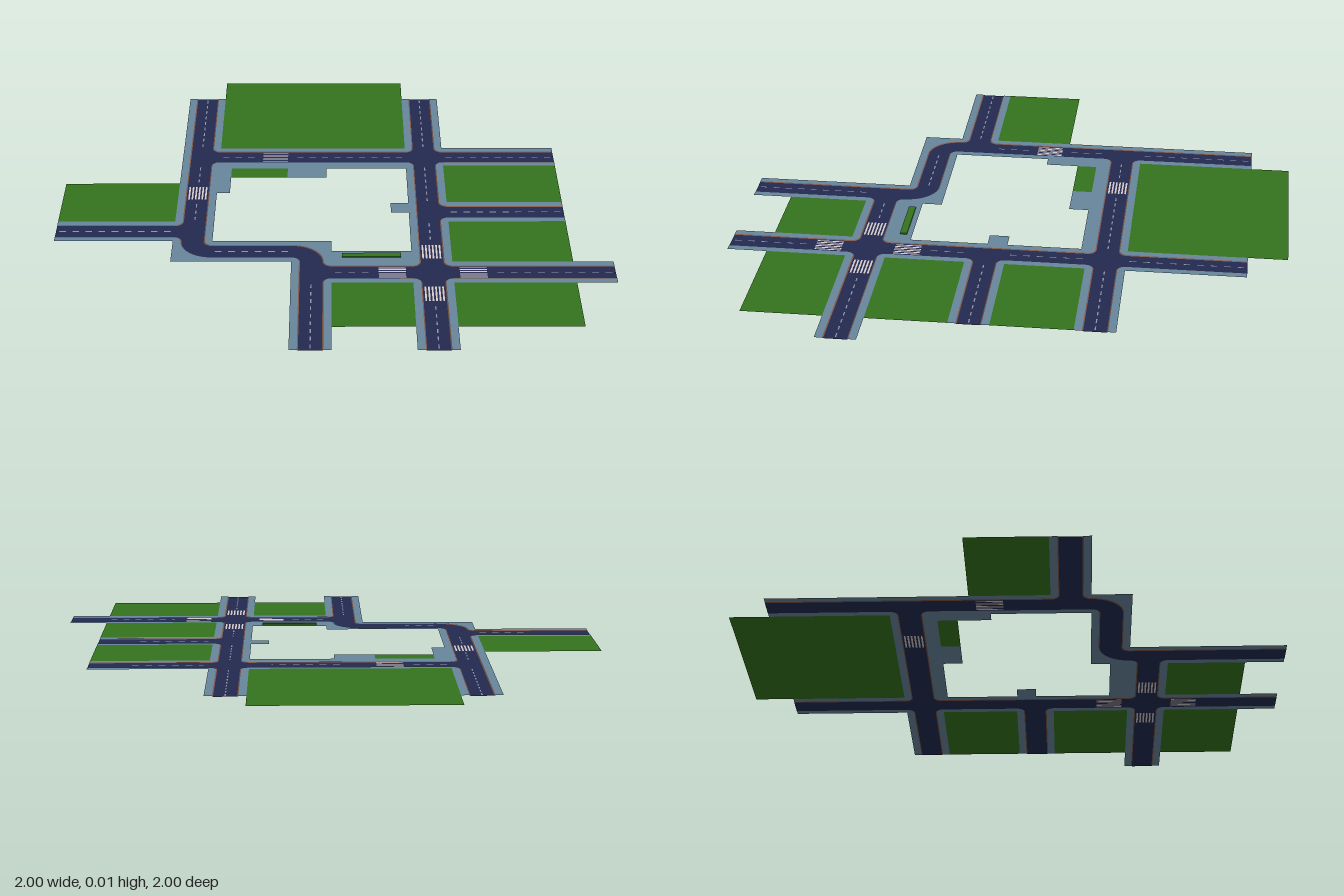
import * as THREE from 'three';
import { mergeGeometries } from 'three/addons/utils/BufferGeometryUtils.js';

const T = 1 / 7, h = T / 2;        // tile size and half size
const w = 0.04, c = 0.004;         // road half width, kerb width
const top = 0.002;                 // pavement height

const parts = { road: [], pavement: [], kerb: [], crossingStripes: [], laneDashes: [], grass: [] };
const colors = { road: 0x222a50, pavement: 0x67869c, kerb: 0x7d5345,
  crossingStripes: 0xd6cbc8, laneDashes: 0x8f94a8, grass: 0x33741d };

// Flat polygon from [x, z] points at height y, facing up
function flat(part, pts, y) {
  const shape = new THREE.Shape(pts.map(([x, z]) => new THREE.Vector2(x, -z)));
  const g = new THREE.ShapeGeometry(shape).rotateX(-Math.PI / 2).translate(0, y, 0);
  parts[part].push(g);
}

const rect = (x0, x1, z0, z1) => [[x0, z0], [x1, z0], [x1, z1], [x0, z1]];

// Sloped kerb between a road edge line and a pavement edge line
function kerb(low, high) {
  const pos = [], idx = [];
  low.forEach((p, i) => {
    pos.push(p[0], 0, p[1], high[i][0], top, high[i][1]);
    if (i) idx.push(2 * i - 2, 2 * i - 1, 2 * i, 2 * i - 1, 2 * i + 1, 2 * i);
  });
  const g = new THREE.BufferGeometry();
  g.setAttribute('position', new THREE.Float32BufferAttribute(pos, 3));
  g.setIndex(idx);
  g.computeVertexNormals();
  parts.kerb.push(g);
}

// Quarter arc round the tile corner (h, h)
function arc(r) {
  const pts = [];
  for (let i = 0; i <= 10; i++) {
    const a = -Math.PI / 2 * (1 + i / 10);
    pts.push([h + r * Math.cos(a), h + r * Math.sin(a)]);
  }
  return pts;
}

const DIRS = [[1, 0], [0, 1], [-1, 0], [0, -1]];

// One road tile; open[k] tells whether the road leaves through side k
function tile(col, row, open, crossing) {
  const cx = -1 + (col + 0.5) * T, cz = -1 + (row + 0.5) * T;
  const place = (k, pts) => {
    const [ax, az] = DIRS[k % 4], [bx, bz] = DIRS[(k + 1) % 4];
    return pts.map(([u, v]) => [cx + u * ax + v * bx, cz + u * az + v * bz]);
  };
  const straight = open[0] === open[2] && open[1] === open[3] && open[0] !== open[1];
  const bend = open.filter(Boolean).length === 2 && !straight;
  const outline = [];

  for (let k = 0; k < 4; k++) {
    const next = open[(k + 1) % 4];
    if (open[k] && next) {
      // rounded pavement corner
      flat('pavement', place(k, [[h, h], ...arc(h - w - c)]), top);
      kerb(place(k, arc(h - w)), place(k, arc(h - w - c)));
      outline.push(...place(k, arc(h - w)));
      if (bend) {
        flat('road', place(k, [...arc(h - w), ...arc(h + w).reverse()]), 0);
        flat('pavement', place(k, [...arc(h + w + c), [-h, h], [-h, -h], [h, -h]]), top);
        kerb(place(k, arc(h + w)), place(k, arc(h + w + c)));
      }
    } else if (open[k]) outline.push(...place(k, [[h, w]]));
    else if (next) outline.push(...place(k, [[w, h]]));
    if (!open[k] && !bend) {
      // straight pavement along a closed side
      flat('pavement', place(k, rect(w + c, h, -h, h)), top);
      kerb(place(k, [[w, -h], [w, h]]), place(k, [[w + c, -h], [w + c, h]]));
    }
  }
  if (bend) return;

  const axis = open[0] ? 0 : 1;
  if (crossing) {
    // zebra crossing of alternating strips
    const L = 0.048, n = 13, s = 2 * w / n;
    flat('road', place(axis, rect(-h, -L, -w, w)), 0);
    flat('road', place(axis, rect(L, h, -w, w)), 0);
    for (let i = 0; i < n; i++) {
      flat(i % 2 ? 'crossingStripes' : 'road',
        place(axis, rect(-L, L, -w + i * s, -w + (i + 1) * s)), 0);
    }
    return;
  }
  flat('road', outline, 0);
  if (straight) {
    for (const m of [-1, 0, 1]) {
      const u = m * T / 3;
      flat('laneDashes', place(axis, rect(u - 0.012, u + 0.012, -0.0022, 0.0022)), 0.0006);
    }
  }
}

export function createModel() {
  for (const key in parts) parts[key] = [];

  // Road network as runs of tiles: first column, last column, first row, last row
  const cells = new Set();
  const runs = [[3, 3, 1, 9], [9, 9, 1, 13], [3, 12, 4, 4], [9, 12, 7, 7],
    [0, 3, 8, 8], [3, 6, 9, 9], [6, 6, 9, 13], [6, 13, 10, 10]];
  for (const [c0, c1, r0, r1] of runs)
    for (let x = c0; x <= c1; x++)
      for (let z = r0; z <= r1; z++) cells.add(`${x},${z}`);
  const crossings = ['5,4', '3,6', '9,9', '9,11', '8,10', '10,10'];

  for (const cell of cells) {
    const [x, z] = cell.split(',').map(Number);
    const open = DIRS.map(([dx, dz]) => cells.has(`${x + dx},${z + dz}`));
    // a road end runs straight out of the map
    if (open.filter(Boolean).length === 1) open[(open.indexOf(true) + 2) % 4] = true;
    tile(x, z, open, crossings.includes(cell));
  }

  // Extra pavement round the inner block
  for (const r of [[-3 * T, 2 * T, -2 * T, -0.262], [-3 * T, -0.38, -0.262, -0.07],
    [-0.166, -0.018, -0.262, -0.19], [0, 2 * T, 2.5 * T, 3 * T], [0.22, 2 * T, 0.005, 0.077]])
    flat('pavement', rect(...r), top);

  // Lawns
  for (const r of [[-3 * T, 2 * T, -1, -3 * T], [-1, -4 * T, -T, T], [3 * T, 6 * T, -2 * T, 0],
    [3 * T, 6 * T, T, 3 * T], [3 * T, 6 * T, 4 * T, 6 * T], [0, 2 * T, 4 * T, 6 * T],
    [-0.38, -0.166, -0.262, -0.19]])
    flat('grass', rect(...r), top);

  const group = new THREE.Group();
  group.name = 'streetMap';
  const add = (name, geometry, color) => {
    const mat = new THREE.MeshStandardMaterial({ color, side: THREE.DoubleSide });
    const mesh = new THREE.Mesh(geometry, mat);
    mesh.name = name;
    group.add(mesh);
  };
  for (const name in parts) add(name, mergeGeometries(parts[name]), colors[name]);

  // Raised planting bed
  add('hedge', new THREE.BoxGeometry(0.21, 0.005, 0.026).translate(0.143, top + 0.0026, 0.39), colors.grass);
  return group;
}
